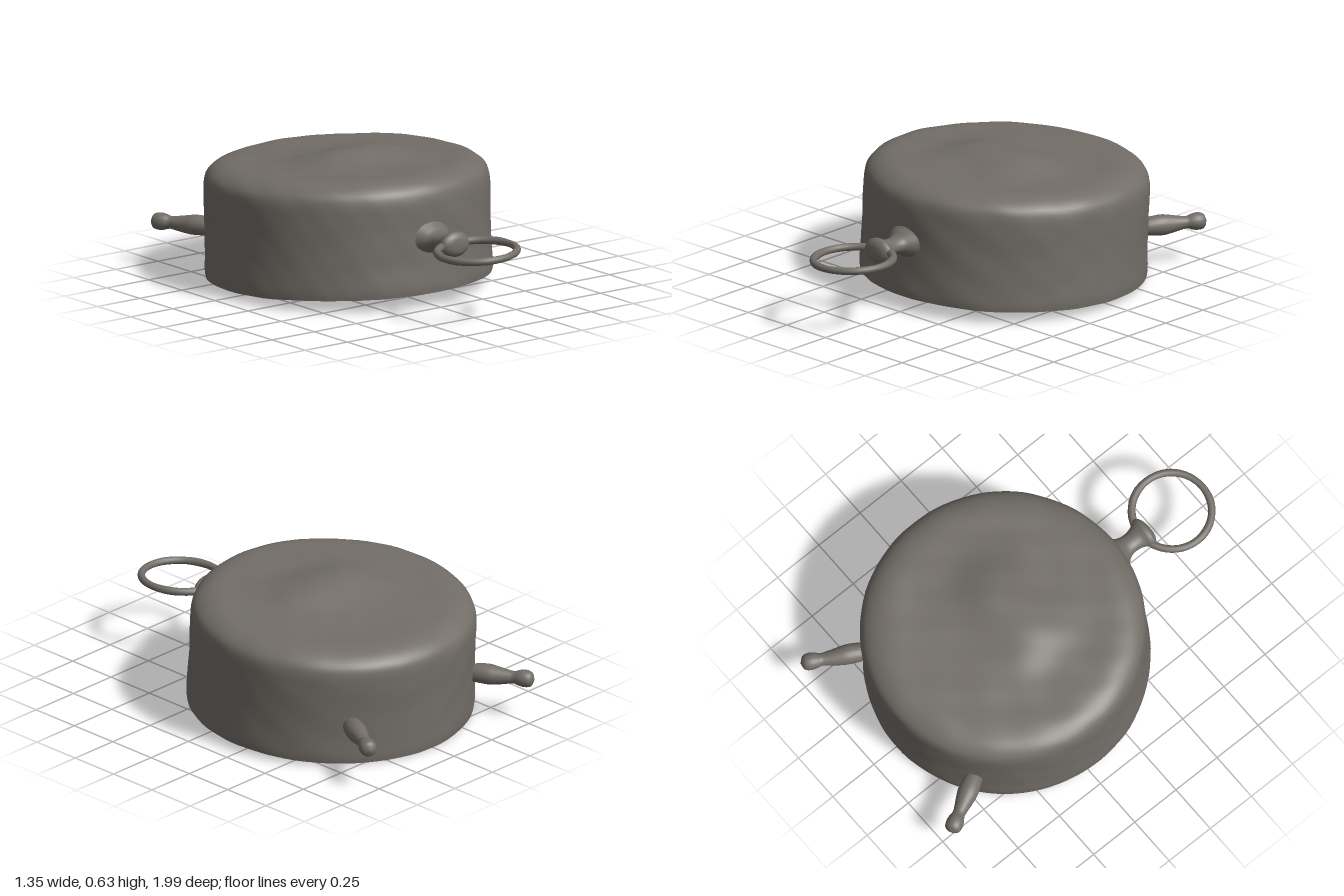
import * as THREE from 'three';
import { mergeVertices } from 'three/addons/utils/BufferGeometryUtils.js';

const metal = new THREE.MeshStandardMaterial({ color: 0x726d67, side: THREE.DoubleSide });
const patina = new THREE.MeshStandardMaterial({ color: 0x5c5c52, side: THREE.DoubleSide });

// Soft hand-hammered unevenness, a smooth function of position
function dent(x, y, z) {
  return (Math.sin(9 * x + 4 * y + 1) * Math.sin(8 * z - 5 * y)
    + 0.6 * Math.sin(19 * x - 7 * z) * Math.sin(17 * z + 13 * y + 2)
    + 0.6 * Math.sin(33 * y + 21 * x) * Math.sin(29 * z + 12 * x)) / 2;
}

// Weld a geometry, push its vertices by the dents and smooth it
function hammer(geometry, amount) {
  geometry.deleteAttribute('uv');
  geometry.deleteAttribute('normal');
  const g = mergeVertices(geometry, 1e-4);
  g.computeVertexNormals();
  const p = g.attributes.position, n = g.attributes.normal;
  for (let i = 0; i < p.count; i++) {
    const d = amount * dent(p.getX(i), p.getY(i), p.getZ(i));
    p.setXYZ(i, p.getX(i) + n.getX(i) * d, p.getY(i) + n.getY(i) * d, p.getZ(i) + n.getZ(i) * d);
  }
  g.computeVertexNormals();
  return g;
}

// Raise the middle of the top into a low ridge running from side to side
function swell(geometry) {
  const p = geometry.attributes.position;
  for (let i = 0; i < p.count; i++) {
    if (p.getY(i) < 0.48) continue;
    const x = p.getX(i) / 0.27, z = (p.getZ(i) - 0.06) / 0.18;
    p.setY(i, p.getY(i) + 0.053 * Math.exp(-(x ** 4) - z * z));
  }
  geometry.computeVertexNormals();
  return geometry;
}

function part(name, geometry, parent, material = metal) {
  const mesh = new THREE.Mesh(geometry, material);
  mesh.name = name;
  parent.add(mesh);
  return mesh;
}

// Smooth turned form through a few [radius, height] points
function turned(points, steps, sides) {
  const curve = new THREE.SplineCurve(points.map(([r, h]) => new THREE.Vector2(r, h)));
  const pts = curve.getSpacedPoints(steps);
  pts.forEach((p) => { p.x = Math.max(p.x, 0); });
  return new THREE.LatheGeometry(pts, sides);
}

export function createModel() {
  const model = new THREE.Group();
  model.name = 'pan';

  // Upturned pan body, leaning slightly backwards
  const body = new THREE.Group();
  body.name = 'body';
  body.position.set(0, 0.037, -0.193);
  body.rotation.x = -0.05;
  model.add(body);

  // Outer wall, rounded shoulder and top
  part('outerShell', swell(hammer(turned([
    [0.67, 0], [0.673, 0.04], [0.669, 0.15], [0.668, 0.25], [0.669, 0.38], [0.666, 0.45],
    [0.65, 0.492], [0.605, 0.525], [0.54, 0.541], [0.42, 0.543], [0.3, 0.543],
    [0.15, 0.543], [0, 0.543],
  ], 80, 96), 0.004)), body);

  // Hollow inside, open at the bottom, with a thin rim
  part('innerShell', swell(hammer(turned([
    [0, 0.515], [0.15, 0.515], [0.3, 0.515], [0.42, 0.514], [0.53, 0.51],
    [0.59, 0.495], [0.63, 0.455], [0.641, 0.38], [0.642, 0.25], [0.644, 0.15], [0.648, 0.03],
    [0.654, 0.003], [0.67, 0],
  ], 80, 96), 0.004)), body, patina);

  // Flared neck joining the body to the ring
  const neck = part('ringNeck', hammer(turned([
    [0.1, 0.005], [0.078, 0.03], [0.055, 0.06], [0.049, 0.1], [0.058, 0.14],
    [0.08, 0.172], [0.074, 0.192], [0.045, 0.208], [0, 0.212],
  ], 32, 28), 0.003), model);
  neck.rotation.x = Math.PI / 2;
  neck.position.set(-0.015, 0.333, 0.449);
  neck.scale.set(1, 1, 0.76);

  // Flat-lying ring
  const ring = part('ring', hammer(new THREE.TorusGeometry(0.187, 0.018, 14, 64), 0.003), model);
  ring.rotation.set(Math.PI / 2, 0.05, 0);
  ring.position.set(-0.017, 0.334, 0.795);

  // Two knob-ended pegs at the back
  for (const side of [1, -1]) {
    const peg = part(side > 0 ? 'leftPeg' : 'rightPeg', hammer(turned([
      [0.04, -0.01], [0.046, 0.03], [0.049, 0.08], [0.044, 0.12], [0.035, 0.17], [0.031, 0.2],
      [0.039, 0.225], [0.043, 0.255], [0.034, 0.285], [0, 0.3],
    ], 36, 24), 0.004), model);
    const direction = new THREE.Vector3(0.48 * side, 0, -0.88).normalize();
    peg.quaternion.setFromUnitVectors(new THREE.Vector3(0, 1, 0), direction);
    peg.position.set(0.404 * side, 0.208, -0.728);
  }

  return model;
}
